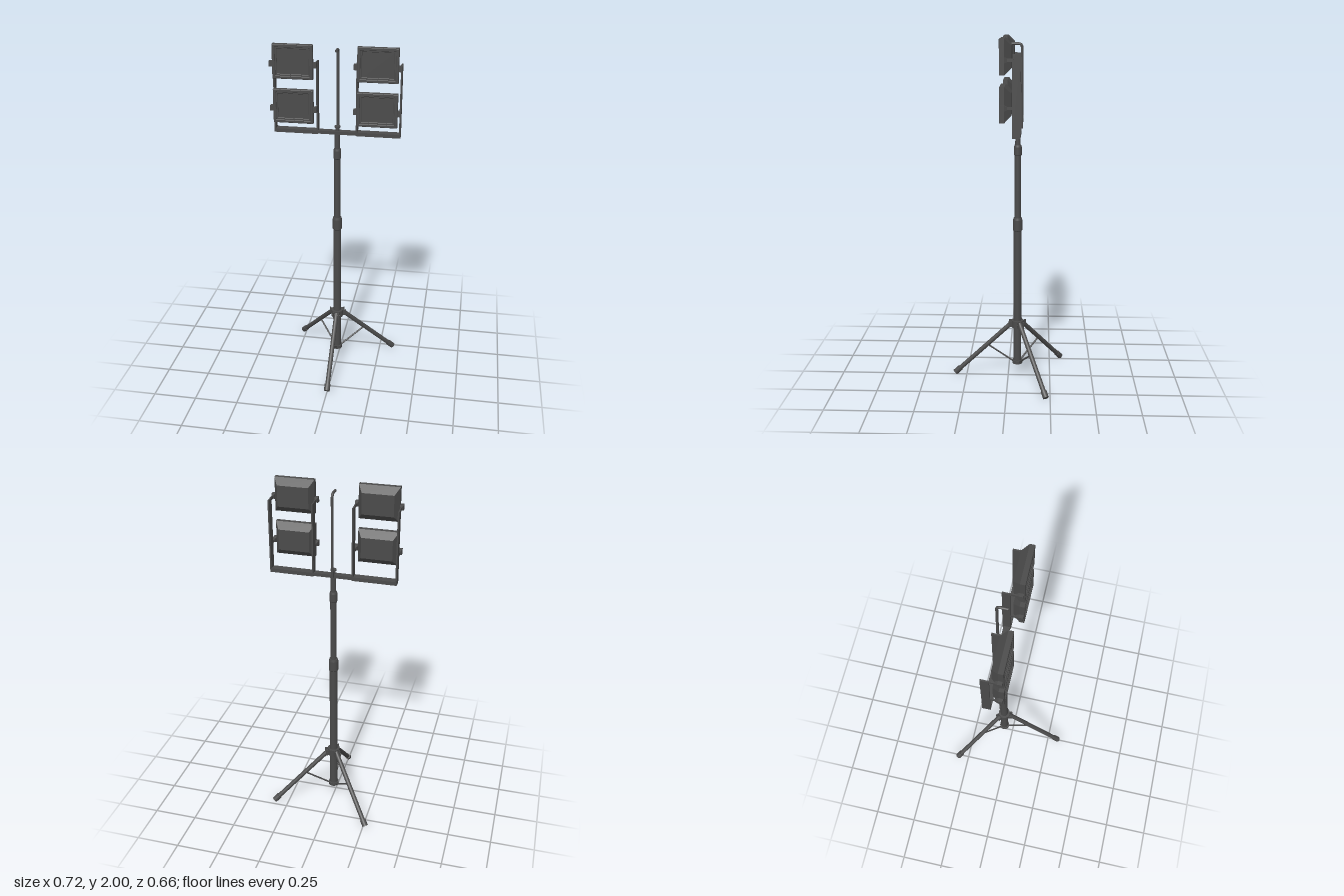
import * as THREE from 'three';

const V = (x, y, z) => new THREE.Vector3(x, y, z);
const POLE_Z = -0.055;
const dark = new THREE.MeshStandardMaterial({ color: 0x4a4a4a });

function add(parent, name, geometry, x = 0, y = 0, z = 0) {
  const mesh = new THREE.Mesh(geometry, dark);
  mesh.name = name;
  mesh.position.set(x, y, z);
  parent.add(mesh);
  return mesh;
}

// Round bar running from a to b
function rod(parent, name, a, b, r, sides = 14) {
  const mesh = add(parent, name, new THREE.CylinderGeometry(r, r, a.distanceTo(b), sides));
  mesh.position.copy(a).lerp(b, 0.5);
  mesh.quaternion.setFromUnitVectors(V(0, 1, 0), b.clone().sub(a).normalize());
  return mesh;
}

// Box whose back face is shrunk
function taperedBox(w, h, d, sx, sy) {
  const g = new THREE.BoxGeometry(w, h, d);
  const p = g.attributes.position;
  for (let i = 0; i < p.count; i++) {
    if (p.getZ(i) < 0) p.setXY(i, p.getX(i) * sx, p.getY(i) * sy);
  }
  g.computeVertexNormals();
  return g;
}

// Rectangular ring with lightly bevelled edges, its back at z = 0
function rectFrame(w, h, border, depth) {
  const rect = (Type, a, b) => new Type([
    [-a, -b], [a, -b], [a, b], [-a, b]].map(([x, y]) => new THREE.Vector2(x / 2, y / 2)));
  const shape = rect(THREE.Shape, w, h);
  shape.holes.push(rect(THREE.Path, w - 2 * border, h - 2 * border));
  const bevel = 0.002;
  const g = new THREE.ExtrudeGeometry(shape, {
    depth: depth - 2 * bevel, bevelThickness: bevel, bevelSize: bevel, bevelOffset: -bevel, bevelSegments: 1,
  });
  return g.translate(0, 0, bevel);
}

// Telescopic pole turned as one profile
function buildPole() {
  const profile = [
    [0, 0.08], [0.03, 0.08], [0.03, 0.1], [0.023, 0.1], [0.023, 0.9],
    [0.027, 0.905], [0.027, 0.965], [0.024, 0.978], [0.018, 0.978], [0.018, 1.34],
    [0.022, 1.345], [0.022, 1.39], [0.019, 1.402], [0.015, 1.402], [0.015, 1.5],
    [0.011, 1.5], [0.011, 1.527], [0.017, 1.527], [0.017, 1.535], [0, 1.535]];
  // Doubled points keep the steps of the profile crisp
  const points = profile.flatMap(([r, y]) => [new THREE.Vector2(r, y), new THREE.Vector2(r, y)]);
  return new THREE.LatheGeometry(points, 20);
}

// One leg, pointing along +z from the pole axis
function buildLeg() {
  const leg = new THREE.Group();
  leg.name = 'leg';
  const top = V(0, 0.338, 0.03), end = V(0, 0.013, 0.373);
  rod(leg, 'legTube', top, end, 0.0135);
  rod(leg, 'rubberFoot', top.clone().lerp(end, 0.915), end, 0.0175);
  for (const s of [-1, 1]) add(leg, 'hingeLug', new THREE.BoxGeometry(0.005, 0.036, 0.03), s * 0.016, 0.331, 0.037);
  rod(leg, 'hingePin', V(-0.021, 0.333, 0.042), V(0.021, 0.333, 0.042), 0.004, 8);
  rod(leg, 'legBrace', V(0, 0.09, 0.022), V(0, 0.197, 0.18), 0.005, 8);
  return leg;
}

// Floodlight centred on its own origin in x and y
function buildLamp() {
  const lamp = new THREE.Group();
  lamp.name = 'floodlight';
  add(lamp, 'lampRim', rectFrame(0.22, 0.187, 0.016, 0.029), 0, 0, 0.006);
  add(lamp, 'innerBezel', rectFrame(0.192, 0.159, 0.011, 0.022), 0, 0, 0.006);
  add(lamp, 'lampGlass', new THREE.BoxGeometry(0.18, 0.147, 0.016), 0, 0, 0.015);
  add(lamp, 'lampHousing', taperedBox(0.22, 0.187, 0.037, 0.78, 0.62), 0, 0, -0.0105);
  // Bracket arms and clamps on both sides
  for (const s of [-1, 1]) {
    add(lamp, 'bracketArm', new THREE.BoxGeometry(0.007, 0.016, 0.04), s * 0.1195, -0.015, -0.022);
    add(lamp, 'clampBlock', new THREE.BoxGeometry(0.02, 0.03, 0.022), s * 0.119, -0.015, 0.019);
    add(lamp, 'clampNeck', taperedBox(0.02, 0.03, 0.016, 0.55, 0.6), s * 0.119, -0.015, 0);
  }
  return lamp;
}

// U-shaped flat-bar frame carrying two lamps
function buildLampFrame() {
  const frame = new THREE.Group();
  frame.name = 'lampFrame';
  add(frame, 'frameBase', new THREE.BoxGeometry(0.247, 0.021, 0.044), 0, 1.498, -0.056);
  for (const s of [-1, 1]) {
    add(frame, 'frameUpright', new THREE.BoxGeometry(0.008, 0.4, 0.044), s * 0.1195, 1.696, -0.056);
  }
  for (const y of [1.661, 1.9065]) {
    const lamp = buildLamp();
    lamp.position.y = y;
    frame.add(lamp);
  }
  return frame;
}

export function createModel() {
  const model = new THREE.Group();
  model.name = 'workLightStand';

  add(model, 'telescopicPole', buildPole(), 0, 0, POLE_Z);
  add(model, 'legHub', new THREE.CylinderGeometry(0.036, 0.036, 0.042, 20), 0, 0.331, POLE_Z);

  // Three legs, unevenly spread
  for (const [x, z] of [[0, 1], [0.325, -0.168], [-0.262, -0.26]]) {
    const leg = buildLeg();
    leg.position.z = POLE_Z;
    leg.rotation.y = Math.atan2(x, z);
    model.add(leg);
  }

  add(model, 'crossbar', new THREE.BoxGeometry(0.7, 0.018, 0.035), 0, 1.498, POLE_Z);
  for (const s of [-1, 1]) {
    const frame = buildLampFrame();
    frame.position.x = s * 0.2295;
    model.add(frame);
  }

  // Cable hook: upright rod bent forward at the top
  const hook = new THREE.CurvePath();
  hook.add(new THREE.LineCurve3(V(0, 1.495, -0.077), V(0, 1.94, -0.077)));
  hook.add(new THREE.QuadraticBezierCurve3(V(0, 1.94, -0.077), V(0, 1.962, -0.077), V(0, 1.962, -0.057)));
  hook.add(new THREE.LineCurve3(V(0, 1.962, -0.057), V(0, 1.962, -0.02)));
  add(model, 'cableHook', new THREE.TubeGeometry(hook, 100, 0.0075, 10));
  rod(model, 'hookTip', V(0, 1.962, -0.022), V(0, 1.962, -0.018), 0.0075, 10);

  return model;
}
